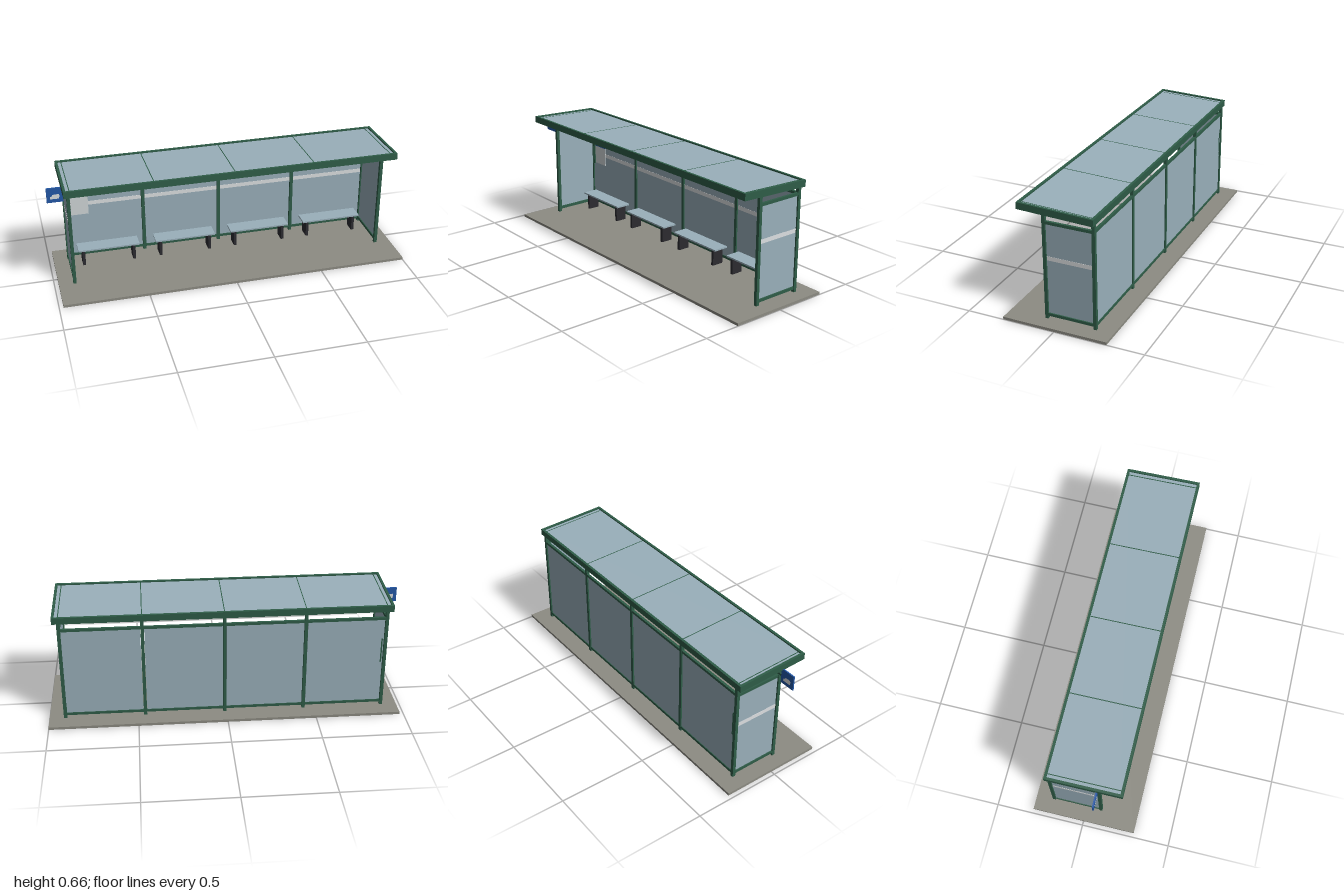
import * as THREE from 'three';

const mat = (name, color) => {
  const m = new THREE.MeshStandardMaterial({ color });
  m.name = name;
  return m;
};

export function createModel() {
  const green = mat('green paint', 0x2f5d48);
  const glass = mat('tinted glass', 0x9ab0bb);
  const concrete = mat('concrete', 0x8d8c83);
  const white = mat('white film', 0xdde0e2);
  const paper = mat('poster paper', 0xd0d6d8);
  const blue = mat('sign blue', 0x2459a8);
  const dark = mat('dark metal', 0x2c2b30);

  const model = new THREE.Group();
  model.name = 'busShelter';
  const body = new THREE.Group(); // shelter sits slightly off centre because of the sign
  body.name = 'shelter';
  body.position.x = 0.0115;
  model.add(body);

  // box given by its limits on each axis
  const box = (name, material, [x0, x1], [y0, y1], [z0, z1], parent = body) => {
    const m = new THREE.Mesh(new THREE.BoxGeometry(x1 - x0, y1 - y0, z1 - z0), material);
    m.position.set((x0 + x1) / 2, (y0 + y1) / 2, (z0 + z1) / 2);
    m.name = name;
    parent.add(m);
    return m;
  };

  const bay = 0.4495, end = 2 * bay, r = 0.009;
  const backZ = -0.192, frontZ = 0.082;

  box('pad', concrete, [-0.988, 0.988], [0, 0.015], [-0.294, 0.294]);

  // posts: five along the back, two at the front corners
  for (let i = -2; i <= 2; i++) {
    const x = i * bay;
    box('backPost', green, [x - r, x + r], [0.015, 0.61], [backZ - r, backZ + r]);
    if (Math.abs(i) === 2) {
      box('frontPost', green, [x - r, x + r], [0.015, 0.62], [frontZ - r, frontZ + r]);
    }
  }

  // back wall bays with benches
  for (let i = 0; i < 4; i++) {
    const x0 = -end + i * bay + r, x1 = x0 + bay - 2 * r, c = (x0 + x1) / 2;
    const railZ = [backZ - 0.007, backZ + 0.007];
    box('backBottomRail', green, [x0, x1], [0.032, 0.047], railZ);
    box('backTopRail', green, [x0, x1], [0.555, 0.57], railZ);
    box('backGlass', glass, [x0 + 0.002, x1 - 0.002], [0.047, 0.555], [backZ - 0.0025, backZ + 0.0025]);
    box('backBand', white, [x0 + 0.002, x1 - 0.002], [0.352, 0.375], [backZ + 0.0025, backZ + 0.0035]);

    box('benchSeat', glass, [c - 0.177, c + 0.177], [0.11, 0.119], [-0.17, -0.078]);
    for (const s of [-1, 1]) {
      const lx = c + s * 0.146;
      box('benchLeg', dark, [lx - 0.008, lx + 0.008], [-0.0005, 0.11], [-0.158, -0.089]);
    }
  }

  // end walls
  for (const s of [-1, 1]) {
    const x = s * end, z = [backZ + r, frontZ - r];
    const railX = [x - 0.007, x + 0.007];
    box('sideBottomRail', green, railX, [0.031, 0.047], z);
    box('sideTopRail', green, railX, [0.554, 0.57], z);
    box('sideGlass', glass, [x - 0.0025, x + 0.0025], [0.049, 0.554], [z[0] + 0.002, z[1] - 0.002]);
    const bx = x + s * 0.003;
    box('sideBand', white, [bx - 0.0006, bx + 0.0006], [0.352, 0.375], [z[0] + 0.002, z[1] - 0.002]);
  }

  // poster and its holder strip on the first back bay
  box('posterStrip', green, [-0.883, -0.875], [0.29, 0.438], [-0.195, -0.181]);
  box('poster', paper, [-0.866, -0.766], [0.298, 0.41], [-0.189, -0.184]);
  box('posterHeader', blue, [-0.866, -0.766], [0.41, 0.431], [-0.189, -0.184]);

  // sloping roof: fascia frame, rafters and glass panels
  const roof = new THREE.Group();
  roof.name = 'roof';
  roof.position.set(0, 0.6315, 0.0065);
  roof.rotation.x = -0.0365;
  body.add(roof);
  const hx = 0.933, hz = 0.211, hy = 0.0187, t = 0.014;
  for (const s of [-1, 1]) {
    const edge = (a, b) => (s > 0 ? [a, b] : [-b, -a]);
    box('roofLongFascia', green, [-hx, hx], [-hy, hy], edge(hz - t, hz), roof);
    box('roofEndFascia', green, edge(hx - t, hx), [-hy, hy], [-hz + t, hz - t], roof);
  }
  box('roofGlass', glass, [-hx + t, hx - t], [0.006, 0.011], [-hz + t, hz - t], roof);
  for (let i = -2; i <= 2; i++) {
    const x = i * bay;
    box('rafter', green, [x - 0.007, x + 0.007], [-0.016, 0.006], [-hz + t, hz - t], roof);
    box('roofJoint', green, [x - 0.0025, x + 0.0025], [0.006, 0.0115], [-hz + t, hz - t], roof);
  }

  // stop sign hung from the front corner post
  const sign = new THREE.Group();
  sign.name = 'stopSign';
  sign.position.set(-0.956, 0.578, 0.077);
  model.add(sign);
  box('signPlate', blue, [-0.044, 0.044], [-0.043, 0.043], [-0.004, 0.004], sign);
  box('signBracket', green, [0.044, 0.066], [-0.006, 0.006], [-0.004, 0.004], sign);

  // simple vehicle pictogram on both faces
  const shape = new THREE.Shape();
  [[-0.026, -0.014], [0.022, -0.014], [0.026, 0.004], [0.022, 0.014], [-0.012, 0.012], [-0.014, 0.003], [-0.026, 0.001]]
    .forEach(([x, y], i) => (i ? shape.lineTo(x, y) : shape.moveTo(x, y)));
  const icon = new THREE.ShapeGeometry(shape);
  for (const s of [1, -1]) {
    const m = new THREE.Mesh(icon, white);
    m.name = 'signPictogram';
    m.position.z = s * 0.005;
    m.position.y = -0.008;
    if (s < 0) m.rotation.y = Math.PI;
    sign.add(m);
  }
  return model;
}
